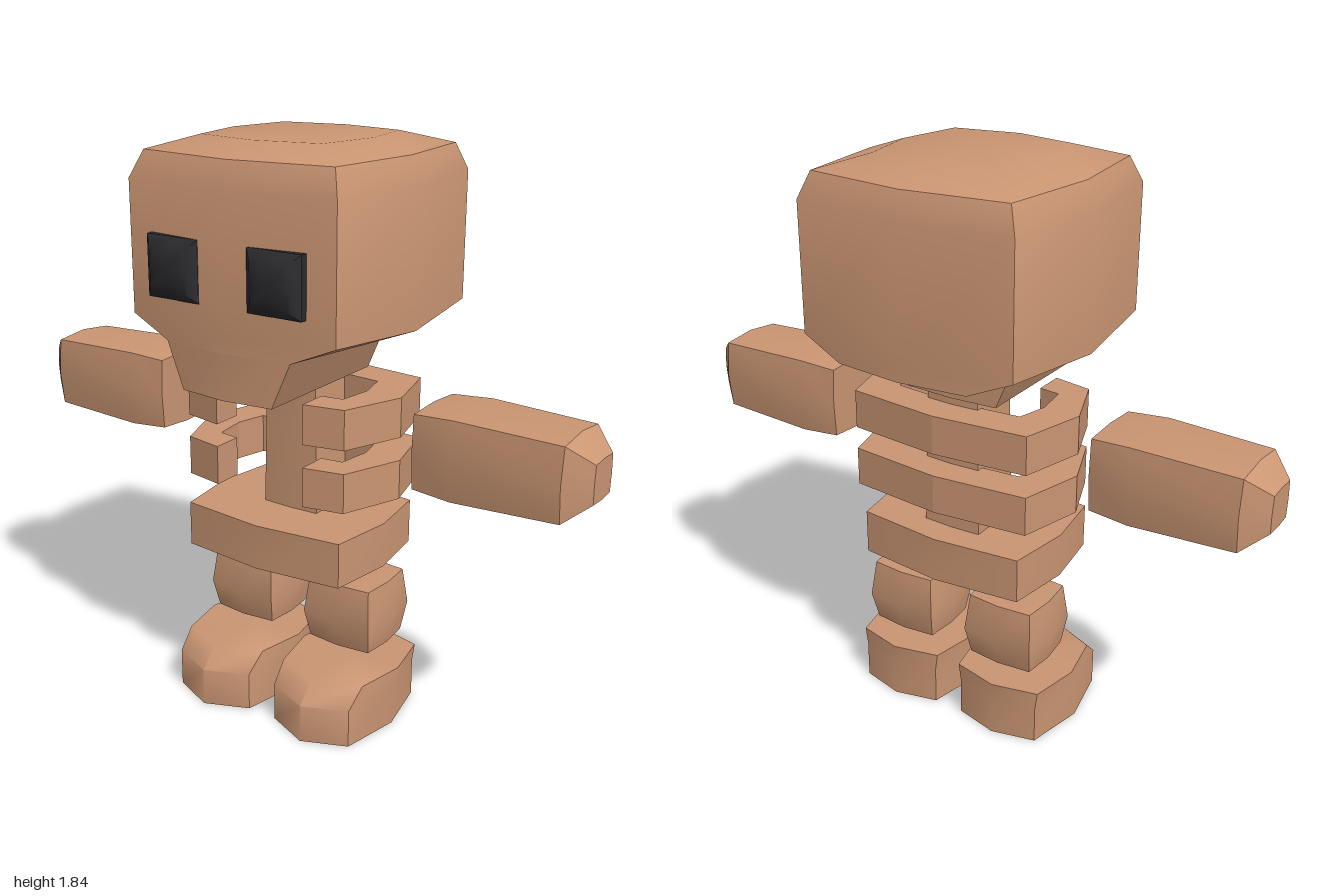
import * as THREE from 'three';
import { toCreasedNormals } from 'three/addons/utils/BufferGeometryUtils.js';

const clay = new THREE.MeshStandardMaterial({ color: 0xcb9673 });
clay.name = 'clay tan';
const black = new THREE.MeshStandardMaterial({ color: 0x2b2b2e });
black.name = 'eye black';

// Bulged square section: corners at +-cx, side middles at +-mx,
// front/back corner and middle depths; middles may sit at another height.
function ring(y, cx, mx, fc, fm, bc = -fc, bm = -fm, midY = y) {
  const side = (fc + bc) / 2;
  return [
    [0, midY, fm], [cx, y, fc], [mx, midY, side], [cx, y, bc],
    [0, midY, bm], [-cx, y, bc], [-mx, midY, side], [-cx, y, fc],
  ];
}

// Skin over rings listed from bottom to top, with both ends capped.
function loft(rings, crease = 0.6) {
  const pos = [];
  const tri = (a, b, c) => pos.push(...a, ...b, ...c);
  const n = rings[0].length;
  const centre = (r) => [0, 1, 2].map((k) => r.reduce((s, p) => s + p[k], 0) / n);
  const first = rings[0], last = rings[rings.length - 1];
  for (let i = 0; i < n; i++) {
    const j = (i + 1) % n;
    for (let k = 0; k < rings.length - 1; k++) {
      const a = rings[k], b = rings[k + 1];
      tri(a[i], a[j], b[j]);
      tri(a[i], b[j], b[i]);
    }
    tri(centre(last), last[i], last[j]);
    tri(centre(first), first[j], first[i]);
  }
  const g = new THREE.BufferGeometry();
  g.setAttribute('position', new THREE.Float32BufferAttribute(pos, 3));
  return toCreasedNormals(g, crease);
}

export function createModel() {
  const model = new THREE.Group();
  const add = (name, geometry, material = clay, x = 0, y = 0, z = 0) => {
    const mesh = new THREE.Mesh(geometry, material);
    mesh.name = name;
    mesh.position.set(x, y, z);
    model.add(mesh);
    return mesh;
  };

  // Skull with sloped cheeks and softly domed top
  add('skull', loft([
    ring(1.26, 0.22, 0.22, 0.366, 0.39, -0.386, -0.41),
    ring(1.32, 0.36, 0.40, 0.35, 0.39, -0.37, -0.41, 1.30),
    ring(1.72, 0.36, 0.40, 0.35, 0.39, -0.37, -0.41),
    ring(1.80, 0.33, 0.37, 0.315, 0.36, -0.34, -0.38),
    ring(1.84, 0.21, 0.25, 0.20, 0.24, -0.21, -0.25),
  ]));
  add('jaw', loft([
    ring(1.12, 0.16, 0.16, 0.372, 0.39, -0.14, -0.15),
    ring(1.26, 0.22, 0.22, 0.366, 0.39, -0.14, -0.15),
  ]));

  // Spine
  add('spine', loft([
    ring(0.66, 0.10, 0.10, 0.055, 0.06, -0.14, -0.145),
    ring(1.13, 0.09, 0.09, 0.05, 0.055, -0.13, -0.135),
  ]));

  // Ribs: a C-shaped plan, open at the front (shape y is -z)
  const half = [
    [0.16, 0.22], [0.29, 0.195], [0.365, 0], [0.31, -0.21], [0, -0.24],
  ];
  const inner = [[0.16, 0.12], [0.23, 0.11], [0.245, 0], [0.22, -0.10], [0, -0.12]];
  const flip = (pts) => pts.slice(0, -1).reverse().map(([x, z]) => [-x, z]);
  const plan = [...half, ...flip(half), ...flip(inner).reverse(), ...inner.slice().reverse()];
  const ribShape = new THREE.Shape(plan.map(([x, z]) => new THREE.Vector2(x, -z)));
  const ribGeometry = new THREE.ExtrudeGeometry(ribShape, { depth: 0.125, bevelEnabled: false });
  ribGeometry.rotateX(-Math.PI / 2);
  add('lowerRib', ribGeometry, clay, 0, 0.77, 0);
  add('upperRib', ribGeometry, clay, 0, 0.968, 0);

  // Pelvis
  add('pelvis', loft([
    ring(0.53, 0.285, 0.315, 0.21, 0.24),
    ring(0.675, 0.285, 0.315, 0.21, 0.24),
  ]));

  const armGeometry = loft([
    ring(0.47, 0.115, 0.122, 0.115, 0.122),
    ring(0.60, 0.123, 0.138, 0.123, 0.138),
    ring(0.93, 0.113, 0.125, 0.113, 0.125),
    ring(1.00, 0.058, 0.062, 0.058, 0.062),
  ]);
  const legGeometry = loft([
    ring(0.24, 0.110, 0.120, 0.100, 0.112),
    ring(0.335, 0.122, 0.138, 0.122, 0.138),
    ring(0.455, 0.110, 0.120, 0.105, 0.115),
  ]);
  const footGeometry = loft([
    ring(0, 0.142, 0.182, 0.22, 0.28, -0.17, -0.205),
    ring(0.125, 0.142, 0.182, 0.22, 0.28, -0.17, -0.205),
    ring(0.185, 0.15, 0.182, 0.155, 0.22, -0.17, -0.205),
  ], 0.85);

  // Shallow domed eye, lofted upward and turned to face forward
  const eyeGeometry = loft([
    ring(0.355, 0.092, 0.092, 0.092, 0.092),
    ring(0.382, 0.092, 0.092, 0.092, 0.092),
    ring(0.405, 0.066, 0.066, 0.066, 0.066),
    ring(0.414, 0.040, 0.040, 0.040, 0.040),
  ], 0.8).rotateX(Math.PI / 2);

  // Mirrored parts
  for (const [side, s] of [['left', 1], ['right', -1]]) {
    add(side + 'Eye', eyeGeometry, black, s * 0.178, 1.482, 0);
    add(side + 'Arm', armGeometry, clay, 0, 0.978, -0.005).rotation.z = -s * Math.PI / 2;
    add(side + 'Leg', legGeometry, clay, s * 0.188, 0, -0.048);
    add(side + 'Foot', footGeometry, clay, s * 0.193, 0, 0);
  }
  return model;
}
